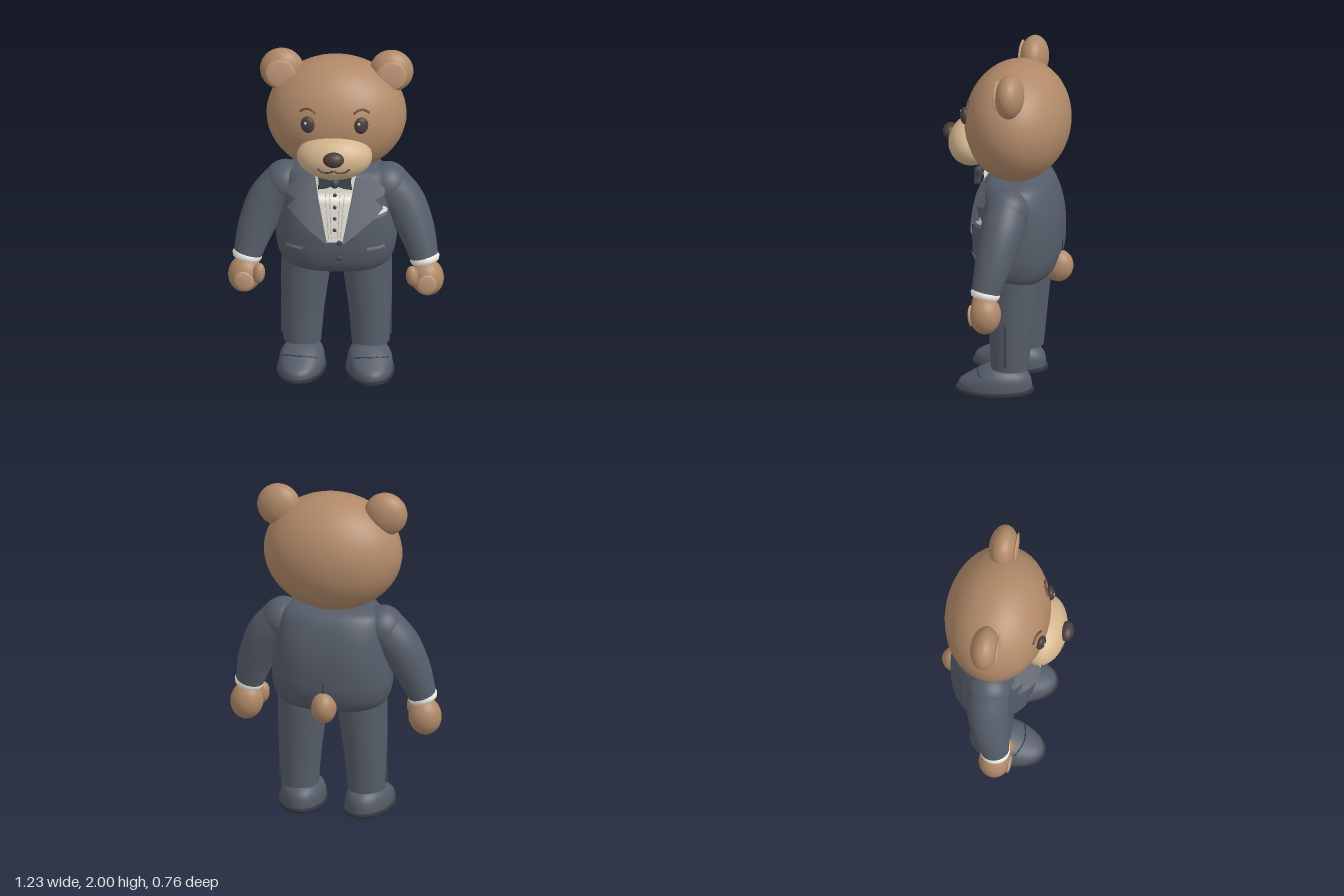
import * as THREE from 'three';
import { ParametricGeometry } from 'three/addons/geometries/ParametricGeometry.js';

const C = {
  fur: 0xb08968, muzzle: 0xd2b48c, pad: 0xc69c7c, dark: 0x4a3e3c, brow: 0x76503a,
  suit: 0x555c68, lapel: 0x757b87, bow: 0x40464f, sole: 0x34383f, white: 0xf2efe6, pleat: 0xcfcbc0,
};
const V = (x, y, z) => new THREE.Vector3(x, y, z);
const lerp = THREE.MathUtils.lerp;

function add(parent, name, geo, color, pos = [0, 0, 0], rot = [0, 0, 0]) {
  const m = new THREE.Mesh(geo, new THREE.MeshStandardMaterial({ color }));
  m.name = name;
  m.position.set(...pos);
  m.rotation.set(...rot);
  parent.add(m);
  return m;
}
const ball = (rx, ry, rz) => new THREE.SphereGeometry(1, 40, 28).scale(rx, ry, rz);
const line = (pts, r) => new THREE.TubeGeometry(new THREE.CatmullRomCurve3(pts), 24, r, 8);

// Tube whose radius changes along its path
function limb(pts, radii) {
  const seg = 32, sides = 32, curve = new THREE.CatmullRomCurve3(pts);
  const geo = new THREE.TubeGeometry(curve, seg, 1, sides), p = geo.attributes.position;
  for (let i = 0; i <= seg; i++) {
    const c = curve.getPointAt(i / seg), t = (i / seg) * (radii.length - 1);
    const k = Math.min(Math.floor(t), radii.length - 2), r = lerp(radii[k], radii[k + 1], t - k);
    for (let j = 0; j <= sides; j++) {
      const n = i * (sides + 1) + j, v = V().fromBufferAttribute(p, n).sub(c).multiplyScalar(r).add(c);
      p.setXYZ(n, v.x, v.y, v.z);
    }
  }
  return geo;
}

// Jacket cross-sections: height, half width, front z, back z
const sections = [
  [0.655, 0.02, -0.04, -0.06], [0.662, 0.18, 0.06, -0.16], [0.685, 0.275, 0.12, -0.23],
  [0.73, 0.318, 0.155, -0.28], [0.81, 0.342, 0.178, -0.31], [0.92, 0.343, 0.187, -0.32],
  [1.05, 0.328, 0.18, -0.315], [1.17, 0.315, 0.155, -0.285], [1.25, 0.29, 0.12, -0.245],
  [1.285, 0.23, 0.085, -0.2], [1.3, 0.02, -0.04, -0.06],
];
const frontCurve = new THREE.CatmullRomCurve3(sections.map(s => V(s[1], s[0], s[2])));
const backCurve = new THREE.CatmullRomCurve3(sections.map(s => V(s[1], s[0], s[3])));
const POWER = 2.5;
function section(t) {
  const f = frontCurve.getPoint(t), b = backCurve.getPoint(t);
  return { y: f.y, rx: f.x, zc: (f.z + b.z) / 2, rz: (f.z - b.z) / 2 };
}
const samples = Array.from({ length: 301 }, (_, i) => section(i / 300));
function torsoZ(x, y) {
  const s = samples.find(q => q.y >= Math.min(y, 1.265));
  const k = Math.max(0, 1 - Math.pow(Math.abs(x) / s.rx, POWER));
  return s.zc + s.rz * Math.pow(k, 1 / POWER);
}
const bend = (v, e) => Math.sign(v) * Math.pow(Math.abs(v), e);
const torsoGeo = () => new ParametricGeometry((u, v, out) => {
  const s = section(v), a = u * Math.PI * 2, e = 2 / POWER;
  out.set(s.rx * bend(Math.sin(a), e), s.y, s.zc + s.rz * bend(Math.cos(a), e));
}, 72, 56);

// Cloth lying on the chest; rows are height, inner x, outer x
function patch(parent, name, rows, off, color, side = 1) {
  const n = rows.length - 1;
  const m = add(parent, name, new ParametricGeometry((u, v, out) => {
    const t = v * n, k = Math.min(Math.floor(t), n - 1), a = rows[k], b = rows[k + 1], f = t - k;
    const y = lerp(a[0], b[0], f), x = lerp(lerp(a[1], b[1], f), lerp(a[2], b[2], f), u);
    out.set(side * x, y, torsoZ(x, y) + off);
  }, 12, n * 6), color);
  m.material.side = THREE.DoubleSide;
}

const headZ = (x, y) => -0.06 + 0.3 * Math.sqrt(1 - (x / 0.4) ** 2 - ((y - 1.61) / 0.345) ** 2);
const muzzleZ = (x, y) => 0.2 + 0.14 * Math.sqrt(1 - (x / 0.215) ** 2 - ((y - 1.465) / 0.137) ** 2);

function buildHead(root) {
  const head = new THREE.Group();
  head.name = 'headGroup';
  root.add(head);
  add(head, 'head', ball(0.4, 0.345, 0.3), C.fur, [0, 1.61, -0.06]);
  add(head, 'muzzle', ball(0.215, 0.137, 0.14), C.muzzle, [0, 1.465, 0.2]);
  add(head, 'nose', ball(0.06, 0.045, 0.042), C.dark, [0, 1.507, 0.338]);
  for (const s of [1, -1]) {
    add(head, 'ear', ball(0.125, 0.127, 0.082), C.fur, [s * 0.313, 1.873, -0.082]);
    add(head, 'innerEar', ball(0.085, 0.09, 0.012), C.pad, [s * 0.317, 1.875, -0.008], [0, 0, -s * 0.5]);
    add(head, 'eye', ball(0.041, 0.051, 0.026), C.dark, [s * 0.153, 1.67, 0.217], [0, s * 0.3, 0]);
    add(head, 'eyeHighlight', ball(0.008, 0.009, 0.005), 0xffffff, [s * 0.153 - 0.012, 1.69, 0.241]);
    const brow = [[0.108, 1.738], [0.135, 1.755], [0.165, 1.756], [0.198, 1.738]];
    add(head, 'eyebrow', line(brow.map(([x, y]) => V(s * x, y, headZ(x, y) + 0.004)), 0.007), C.brow);
    const lip = [[0, 1.438], [0.025, 1.424], [0.055, 1.422], [0.08, 1.434], [0.092, 1.446]];
    add(head, 'mouth', line(lip.map(([x, y]) => V(s * x, y, muzzleZ(x, y) + 0.001)), 0.005), C.dark);
  }
}

function buildJacket(root) {
  const jacket = new THREE.Group();
  jacket.name = 'jacketGroup';
  root.add(jacket);
  add(jacket, 'jacket', torsoGeo(), C.suit);
  patch(jacket, 'shirt', [[0.905, -0.05, 0.05], [1.1, -0.085, 0.085], [1.31, -0.122, 0.122]], 0.007, C.white);
  for (const s of [1, -1]) {
    patch(jacket, 'lapel', [[0.9, 0.043, 0.055], [1.085, 0.077, 0.275], [1.1, 0.08, 0.265], [1.15, 0.09, 0.228],
      [1.162, 0.092, 0.28], [1.195, 0.098, 0.282], [1.285, 0.115, 0.205]], 0.013, C.lapel, s);
    patch(jacket, 'pocket', [[0.845, 0.185, 0.285], [0.864, 0.18, 0.28]], 0.008, C.lapel, s);
    patch(jacket, 'shirtCollar', [[1.255, 0.05, 0.06], [1.31, 0.03, 0.122]], 0.014, C.white, s);
    // Shirt pleats
    for (const x of [0.026, 0.048]) {
      const pts = [0.93, 1.02, 1.12, 1.24].map(y => V(s * x * (0.5 + (y - 0.8) * 1.6), y, torsoZ(x, y) + 0.008));
      add(jacket, 'shirtPleat', line(pts, 0.0025), C.pleat);
    }
    // Bow tie wing
    const w = new THREE.Shape([[0.012, -0.012], [0.05, -0.03], [0.092, -0.036], [0.086, 0], [0.092, 0.036],
      [0.05, 0.026], [0.012, 0.012]].map(([x, y]) => new THREE.Vector2(s * x, y)));
    add(jacket, 'bowTieWing', new THREE.ExtrudeGeometry(w, { depth: 0.02, bevelSize: 0.005, bevelThickness: 0.008,
      bevelSegments: 3 }), C.bow, [0, 1.275, 0.15]);
  }
  add(jacket, 'bowTieKnot', ball(0.026, 0.03, 0.026), C.bow, [0, 1.273, 0.172]);
  for (const y of [1.19, 1.122, 1.055, 0.985]) add(jacket, 'shirtStud', ball(0.011, 0.011, 0.008), C.dark, [0, y, torsoZ(0, y) + 0.01]);
  for (const y of [0.905, 0.8]) add(jacket, 'jacketButton', ball(0.016, 0.016, 0.01), C.bow, [0.027, y, torsoZ(0.027, y) + 0.01]);
  // Breast pocket with folded handkerchief
  patch(jacket, 'breastPocket', [[1.038, 0.2, 0.295], [1.058, 0.2, 0.295]], 0.012, C.lapel);
  for (const [x, top] of [[0.2, 1.105], [0.232, 1.095], [0.264, 1.1]])
    patch(jacket, 'pocketSquare', [[1.056, x, x + 0.032], [1.074, x, x + 0.032], [top, x + 0.008, x + 0.012]], 0.011, C.white);
  add(jacket, 'backVent', new THREE.BoxGeometry(0.006, 0.07, 0.01), C.sole, [0, 0.86, -0.316]);
  add(jacket, 'tail', ball(0.072, 0.095, 0.085), C.fur, [0, 0.735, -0.297], [-0.2, 0, 0]);
}

function buildArm(root, s) {
  const arm = new THREE.Group();
  arm.name = s > 0 ? 'leftArm' : 'rightArm';
  root.add(arm);
  const path = [V(s * 0.29, 1.165, -0.06), V(s * 0.38, 1.06, -0.05), V(s * 0.455, 0.9, -0.02), V(s * 0.503, 0.74, 0.012)];
  add(arm, 'shoulder', ball(0.125, 0.125, 0.13), C.suit, path[0].toArray());
  add(arm, 'sleeve', limb(path, [0.125, 0.122, 0.105, 0.082]), C.suit);
  const cuff = [[0, -0.025], [0.07, -0.025], [0.08, -0.02], [0.086, 0], [0.08, 0.02], [0.07, 0.025], [0, 0.025]];
  add(arm, 'cuff', new THREE.LatheGeometry(cuff.map(p => new THREE.Vector2(...p)), 40), C.white,
    [s * 0.506, 0.73, 0.014], [-0.15, 0, s * 0.22]);
  add(arm, 'hand', ball(0.095, 0.112, 0.09), C.fur, [s * 0.52, 0.607, 0.012], [0, 0, s * 0.15]);
  add(arm, 'thumb', ball(0.036, 0.062, 0.04), C.fur, [s * 0.438, 0.637, 0.07], [0, 0, s * 0.1]);
  add(arm, 'palmPad', ball(0.055, 0.064, 0.014), C.pad, [s * 0.522, 0.595, 0.095], [0.08, 0, s * -0.3]);
}

function buildLeg(root, s) {
  const leg = new THREE.Group();
  leg.name = s > 0 ? 'leftLeg' : 'rightLeg';
  root.add(leg);
  add(leg, 'trouserLeg', limb([V(s * 0.172, 0.78, -0.07), V(s * 0.175, 0.66, -0.07), V(s * 0.19, 0.4, -0.062),
    V(s * 0.195, 0.165, -0.055)], [0.145, 0.138, 0.122, 0.108]), C.suit);
  add(leg, 'trouserStripe', new THREE.BoxGeometry(0.014, 0.47, 0.014), C.bow, [s * 0.308, 0.44, -0.055], [0, 0, s * 0.01]);

  // Shoe upper: a dome that gets lower towards the toe
  const shoe = new THREE.Group();
  shoe.name = 'shoe';
  shoe.position.set(s * 0.195, 0, 0.03);
  shoe.rotation.y = s * 0.12;
  leg.add(shoe);
  const height = z => lerp(0.15, 0.085, THREE.MathUtils.smoothstep(z, -0.02, 0.2));
  const upper = new THREE.SphereGeometry(1, 48, 24, 0, Math.PI * 2, 0, Math.PI / 2), p = upper.attributes.position;
  for (let i = 0; i < p.count; i++) {
    const z = p.getZ(i) * 0.212;
    p.setXYZ(i, p.getX(i) * 0.13, 0.035 + height(z) * Math.pow(Math.max(0, p.getY(i)), 0.6), z);
  }
  upper.computeVertexNormals();
  add(shoe, 'shoeUpper', upper, C.suit);
  const seam = [-0.1, -0.07, 0, 0.07, 0.1].map(x => {
    const z = 0.1 - 3 * x * x, k = 1 - (x / 0.13) ** 2 - (z / 0.212) ** 2;
    return V(x, 0.035 + height(z) * Math.pow(k, 0.3), z);
  });
  add(shoe, 'toeSeam', line(seam, 0.004), C.sole);
  const rim = [[0, 0.003], [0.85, 0.006], [0.97, 0.017], [1, 0.03], [0.97, 0.042], [0, 0.045]];
  add(shoe, 'sole', new THREE.LatheGeometry(rim.map(q => new THREE.Vector2(...q)), 48).scale(0.141, 1, 0.226), C.sole);
}

export function createModel() {
  const root = new THREE.Group();
  root.name = 'bearInSuit';
  buildHead(root);
  buildJacket(root);
  for (const s of [1, -1]) {
    buildArm(root, s);
    buildLeg(root, s);
  }
  return root;
}
